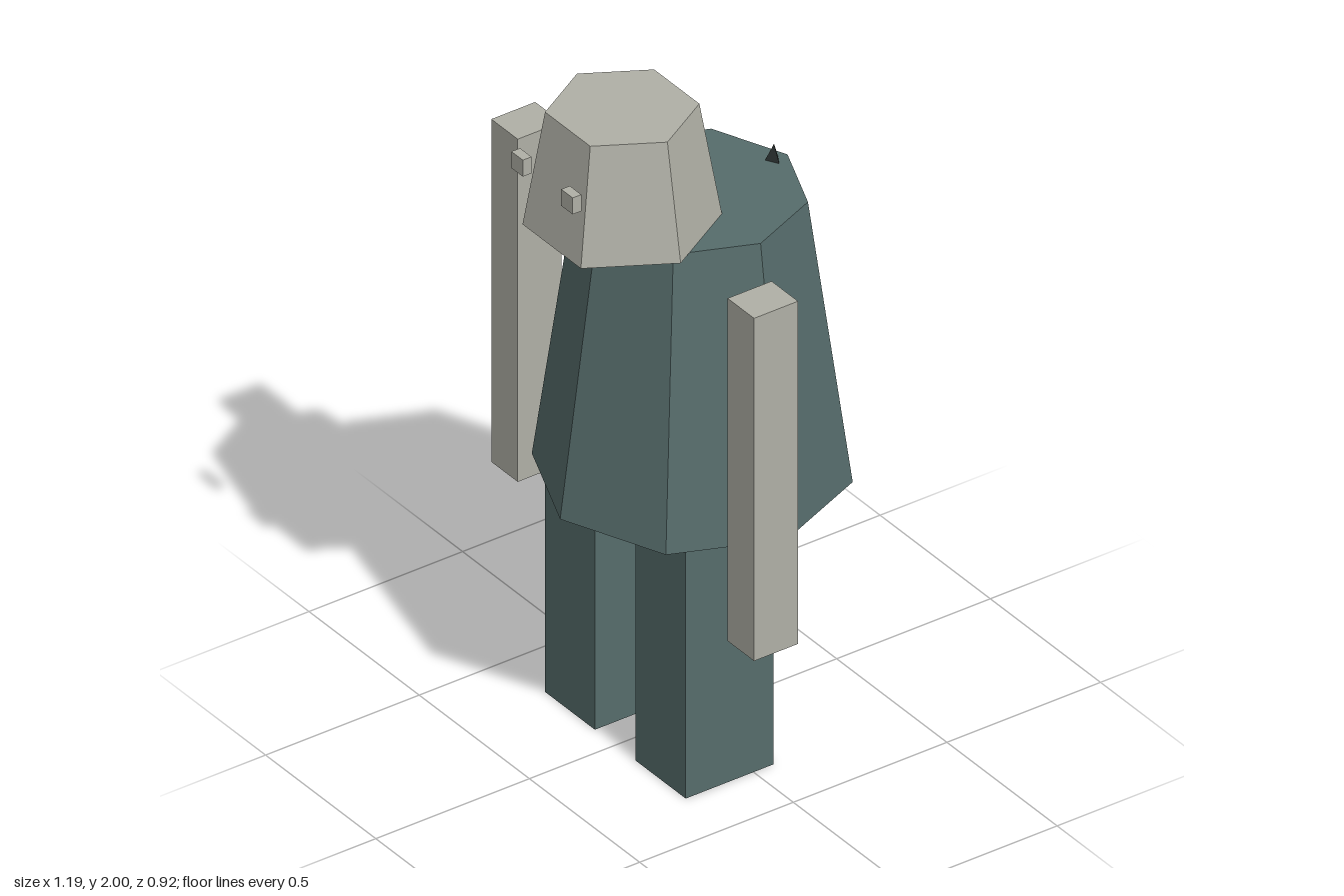
import * as THREE from 'three';

const mat = (name, color) => {
  const m = new THREE.MeshStandardMaterial({ color, flatShading: true });
  m.name = name;
  return m;
};

export function createModel() {
  const model = new THREE.Group();
  model.name = 'figure';
  const skin = mat('pale stone', 0xb0b0a6);
  const cloth = mat('dull teal', 0x566c6b);
  const dark = mat('near black', 0x282e2d);

  const add = (name, geometry, material, x, y, z) => {
    const mesh = new THREE.Mesh(geometry, material);
    mesh.name = name;
    mesh.position.set(x, y, z);
    model.add(mesh);
  };
  const box = (name, material, size, x, y, z) =>
    add(name, new THREE.BoxGeometry(...size), material, x, y, z);

  // Eight-sided tapered torso and six-sided head set forward
  add('body', new THREE.CylinderGeometry(0.31, 0.43, 0.87, 8), cloth, 0, 1.215, -0.03);
  add('head', new THREE.CylinderGeometry(0.205, 0.265, 0.35, 6).rotateY(Math.PI / 6),
    skin, 0, 1.825, 0.198);

  // Mirrored limbs and eyes
  for (const [side, s] of [['left', 1], ['right', -1]]) {
    box(side + 'Leg', cloth, [0.227, 0.78, 0.285], s * 0.206, 0.39, 0.078);
    box(side + 'Arm', skin, [0.12, 1.08, 0.143], s * 0.536, 1.11, 0.125);
    box(side + 'Eye', skin, [0.052, 0.052, 0.028], s * 0.113, 1.862, 0.445);
  }

  // Three-sided back spikes: radius, height, x, base y, z
  const spikes = [
    [0.05, 0.105, 0, 1.595, -0.296],
    [0.098, 0.24, -0.024, 1.4, -0.335],
    [0.08, 0.2, -0.026, 1.02, -0.353],
  ];
  spikes.forEach(([r, h, x, y, z], i) =>
    add('backSpike' + (i + 1), new THREE.ConeGeometry(r, h, 3).rotateY(Math.PI / 2),
      dark, x, y + h / 2, z));

  return model;
}
